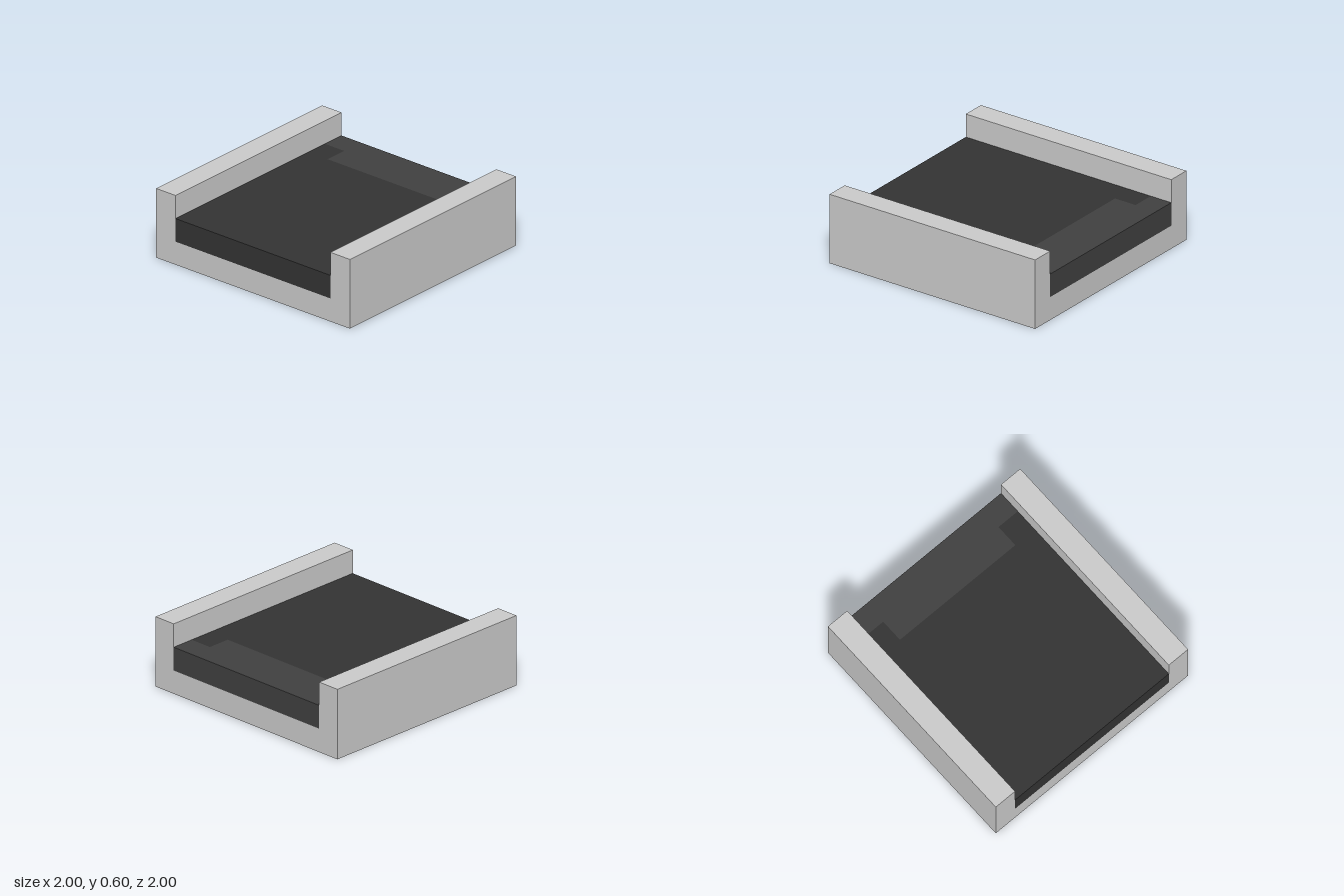
import * as THREE from 'three';

const material = (color) => new THREE.MeshStandardMaterial({ color, flatShading: true });

const outline = (points) => new THREE.Shape(points.map(([x, y]) => new THREE.Vector2(x, y)));

// Flat slab from a plan outline given as [x, z], resting in the channel
function slab(name, plan, color) {
  const geometry = new THREE.ExtrudeGeometry(outline(plan.map(([x, z]) => [x, -z])), { depth: 0.2, bevelEnabled: false });
  geometry.rotateX(-Math.PI / 2).translate(0, 0.2, 0);
  const mesh = new THREE.Mesh(geometry, material(color));
  mesh.name = name;
  return mesh;
}

export function createModel() {
  const model = new THREE.Group();
  model.name = 'channelTile';

  // U-shaped channel: floor with a raised wall on each side
  const section = outline([
    [-1, 0], [1, 0], [1, 0.6], [0.8, 0.6], [0.8, 0.2], [-0.8, 0.2], [-0.8, 0.6], [-1, 0.6],
  ]);
  const channel = new THREE.Mesh(
    new THREE.ExtrudeGeometry(section, { depth: 2, bevelEnabled: false }).translate(0, 0, -1),
    material(0xcccccc),
  );
  channel.name = 'channel';
  model.add(channel);

  // Stepped seam shared by the two surface slabs
  const seam = [[-0.8, -0.8], [-0.6, -0.8], [-0.6, -0.6], [0.6, -0.6], [0.6, -0.8], [0.8, -0.8]];
  model.add(slab('mainSurface', [...seam, [0.8, 1], [-0.8, 1]], 0x333333));
  model.add(slab('backSurface', [...seam, [0.8, -1], [-0.8, -1]], 0x404040));

  return model;
}
